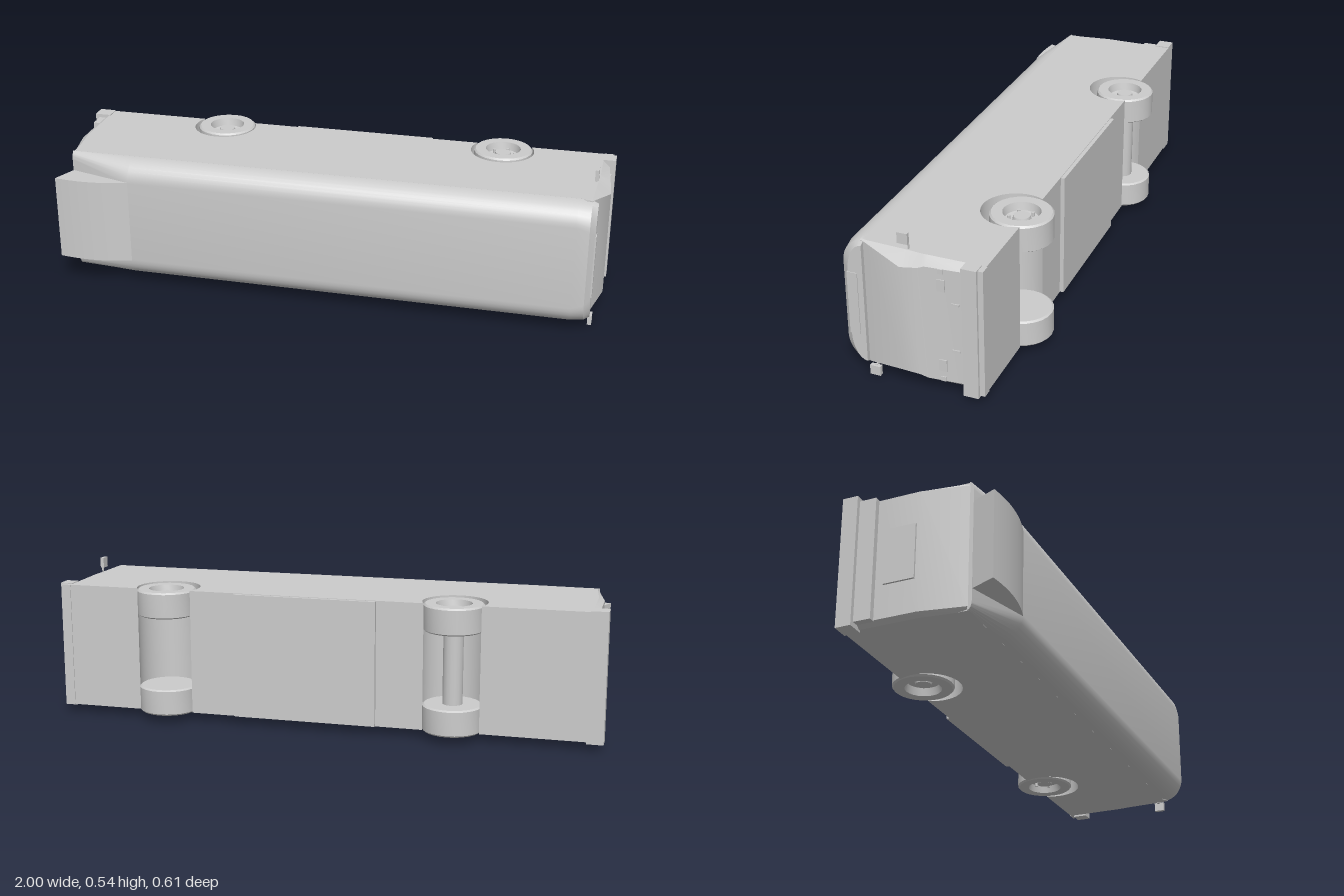
import * as THREE from 'three';
import { toCreasedNormals } from 'three/addons/utils/BufferGeometryUtils.js';

const MID = 0.2575; // centre height of the coach, which lies on its side
const HALF = 0.2275; // half of its width
const WHEEL_Z = -0.202;
const AXLES = { rear: -0.47, front: 0.59 };

// Closed skin through equal rings of [x, y, z]; convex ends are capped
function loft(rings) {
  const n = rings[0].length, pos = [];
  const tri = (...p) => p.forEach((v) => pos.push(...v));
  for (let r = 0; r < rings.length - 1; r++) {
    for (let i = 0; i < n; i++) {
      const j = (i + 1) % n, a = rings[r], b = rings[r + 1];
      tri(a[i], a[j], b[j]);
      tri(a[i], b[j], b[i]);
    }
  }
  const first = rings[0], last = rings[rings.length - 1];
  for (let i = 1; i < n - 1; i++) {
    tri(first[0], first[i + 1], first[i]);
    tri(last[0], last[i], last[i + 1]);
  }
  const g = new THREE.BufferGeometry();
  g.setAttribute('position', new THREE.Float32BufferAttribute(pos, 3));
  return toCreasedNormals(g, 0.5);
}

// Outline in x and -z, extruded upwards between two heights
function slab(shape, y0, y1) {
  const g = new THREE.ExtrudeGeometry(shape, { depth: y1 - y0, bevelEnabled: false, curveSegments: 16 });
  g.rotateX(-Math.PI / 2).translate(0, y0, 0);
  return toCreasedNormals(g, 0.5);
}

export function createModel() {
  const model = new THREE.Group();
  const bodyGrey = new THREE.MeshStandardMaterial({ color: 0xcccccc });
  bodyGrey.name = 'bodyGrey';
  const add = (name, geometry, parent = model) => {
    const mesh = new THREE.Mesh(geometry, bodyGrey);
    mesh.name = name;
    parent.add(mesh);
    return mesh;
  };
  const box = (name, x0, x1, y0, y1, z0, z1) => {
    const mesh = add(name, new THREE.BoxGeometry(x1 - x0, y1 - y0, z1 - z0));
    mesh.position.set((x0 + x1) / 2, (y0 + y1) / 2, (z0 + z1) / 2);
    return mesh;
  };

  // Main body with wheel arches running across the underside
  const side = new THREE.Shape();
  side.moveTo(-0.93, -0.19);
  side.lineTo(0.93, -0.19);
  side.lineTo(0.93, 0.235);
  const archR = 0.115, archS = 0.18, a = Math.asin((0.235 - archS) / archR);
  for (const x of [AXLES.front, AXLES.rear]) {
    side.lineTo(x + archR * Math.cos(a), 0.235);
    side.absarc(x, archS, archR, a, -Math.PI - a, true);
  }
  side.lineTo(-0.93, 0.235);
  side.closePath();
  add('body', slab(side, MID - HALF, MID + HALF));
  box('bellyPanel', -0.2, 0.32, 0.032, 0.483, -0.249, -0.23);

  // Rounded roof, sloping down at the rear: [x, top, corner width, half width]
  const roofRing = ([x, top, corner, w]) => {
    const ring = [];
    for (const s of [1, -1]) {
      for (let i = 0; i <= 8; i++) {
        const t = ((s > 0 ? i : 8 - i) / 8) * Math.PI / 2;
        ring.push([x, MID + s * (w - corner + corner * Math.cos(t)), 0.188 + (top - 0.188) * Math.sin(t)]);
      }
    }
    return ring;
  };
  add('roof', loft([
    [-0.935, 0.203, 0.03, HALF], [-0.7, 0.27, 0.075, HALF], [0.9, 0.27, 0.075, HALF],
    [0.945, 0.264, 0.085, 0.224], [0.965, 0.24, 0.1, 0.215],
  ].map(roofRing)));

  // Front and rear ends: [z, side x, end x, half width at the end]
  const frontRing = ([z, xs, xe, w]) => [
    [0.92, MID - HALF, z], [xs, MID - HALF, z], [xe, MID - w, z],
    [xe, MID + w, z], [xs, MID + HALF, z], [0.92, MID + HALF, z],
  ];
  add('frontEnd', loft([
    [-0.235, 0.955, 0.98, 0.205], [-0.165, 0.955, 0.98, 0.205], [-0.04, 0.955, 0.99, 0.205],
    [-0.02, 0.955, 0.993, 0.197], [0.04, 0.95, 0.998, 0.19], [0.178, 0.944, 0.952, 0.222], [0.2, 0.94, 0.945, 0.225],
  ].map(frontRing)));
  const rearRing = ([z, xs, xe, w]) => [
    [-0.92, MID + HALF, z], [xs, MID + HALF, z], [xe, MID + w, z],
    [xe, MID - w, z], [xs, MID - HALF, z], [-0.92, MID - HALF, z],
  ];
  add('rearEnd', loft([
    [-0.235, -0.945, -0.965, 0.215], [-0.11, -0.945, -0.965, 0.215],
    [0.03, -0.945, -0.965, 0.215], [0.19, -0.925, -0.935, 0.215],
  ].map(rearRing)));

  // Bumpers
  box('frontBumper', 0.955, 1.0, 0.023, 0.488, -0.22, -0.168);
  box('frontBumperLip', 0.955, 0.99, 0.03, 0.485, -0.238, -0.21);
  box('rearBumper', -1.0, -0.94, 0.023, 0.488, -0.235, -0.18);
  box('rearBumperStep', -0.985, -0.95, 0.04, 0.475, -0.18, -0.12);
  box('rearHatch', -0.972, -0.96, 0.16, 0.355, -0.09, 0.02);

  // Destination sign over the windscreen
  box('destinationSign', 0.95, 0.968, 0.142, 0.37, 0.207, 0.243);

  // Cooling unit with a curved cover on the rear of the roof
  const unit = new THREE.Shape();
  unit.moveTo(-0.69, -0.266);
  unit.quadraticCurveTo(-0.82, -0.315, -0.97, -0.29);
  unit.lineTo(-0.93, -0.195);
  unit.lineTo(-0.69, -0.195);
  add('roofCoolingUnit', slab(unit, 0.102, 0.413));

  // Lamps and slots, mirrored across the front
  for (const s of [1, -1]) {
    const pair = (name, dy, h, z, d, x) => box(name, x - 0.006, x + 0.003, MID + s * dy - h / 2, MID + s * dy + h / 2, z - d / 2, z + d / 2);
    pair('headlamp', 0.147, 0.042, -0.094, 0.027, 0.986);
    pair('cornerLamp', 0.197, 0.016, -0.094, 0.018, 0.986);
    pair('bumperSlot', 0.085, 0.008, -0.14, 0.026, 0.983);
  }

  // Mirrors on thin arms
  box('upperMirror', 0.94, 0.953, 0.503, 0.541, 0.031, 0.067);
  box('upperMirrorArm', 0.941, 0.947, 0.475, 0.515, 0.03, 0.034);
  box('lowerMirror', 0.957, 0.972, 0, 0.034, 0.14, 0.177);
  box('lowerMirrorArm', 0.94, 0.965, 0.028, 0.036, 0.155, 0.162);

  // Wheels with a recessed rim; the axle line runs along y
  const tyre = [[0, -0.048], [0.1, -0.048], [0.107, -0.043], [0.107, 0.042], [0.101, 0.048],
    [0.064, 0.048], [0.058, 0.02], [0.032, 0.016], [0.028, 0.034], [0, 0.034]];
  const wheelGeometry = toCreasedNormals(
    new THREE.LatheGeometry(tyre.map(([r, y]) => new THREE.Vector2(r, y)), 24), 0.5);
  for (const [axle, x] of Object.entries(AXLES)) {
    for (const s of [1, -1]) {
      const wheel = new THREE.Group();
      wheel.name = axle + 'Wheel';
      wheel.position.set(x, MID + s * 0.1795, WHEEL_Z);
      if (s < 0) wheel.rotation.x = Math.PI;
      model.add(wheel);
      add('tyreAndRim', wheelGeometry, wheel);
      for (let i = 0; axle === 'front' && i < 5; i++) {
        const t = (i / 5) * Math.PI * 2;
        const bolt = add('wheelBolt', new THREE.CylinderGeometry(0.006, 0.006, 0.016, 8), wheel);
        bolt.position.set(0.043 * Math.cos(t), 0.024, 0.043 * Math.sin(t));
      }
    }
  }
  const axle = add('rearAxle', new THREE.CylinderGeometry(0.036, 0.036, 0.28, 16));
  axle.position.set(AXLES.rear, MID, WHEEL_Z);

  return model;
}
